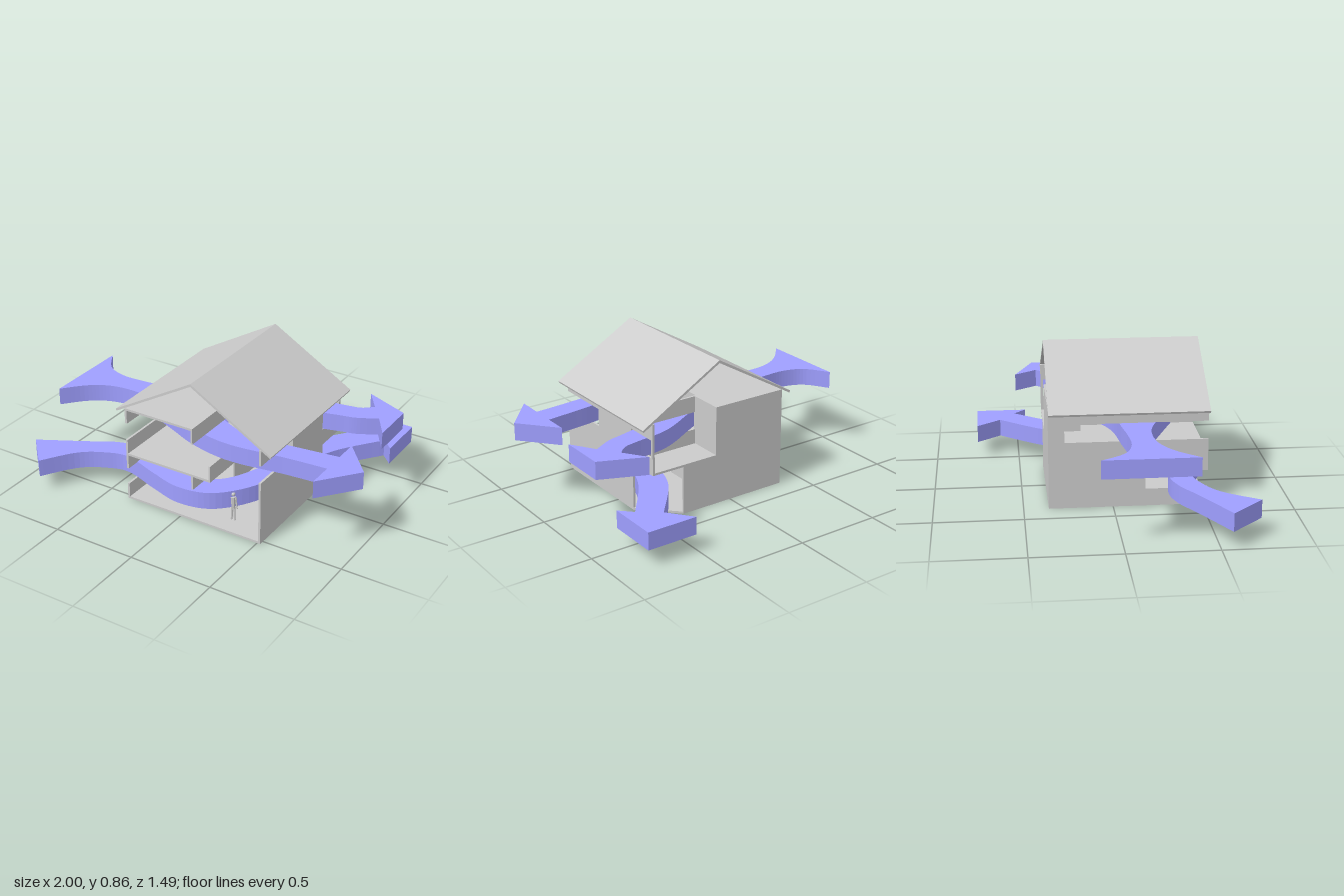
import * as THREE from 'three';

const grey = new THREE.MeshStandardMaterial({ color: 0xcccccc, flatShading: true, side: THREE.DoubleSide });
const blue = new THREE.MeshStandardMaterial({ color: 0x9f9fff, side: THREE.DoubleSide });

// Box given by its extents on each axis
function slab(name, x0, x1, y0, y1, z0, z1) {
  const mesh = new THREE.Mesh(new THREE.BoxGeometry(x1 - x0, y1 - y0, z1 - z0), grey);
  mesh.position.set((x0 + x1) / 2, (y0 + y1) / 2, (z0 + z1) / 2);
  mesh.name = name;
  return mesh;
}

// Plan outline (x, z) raised from y0 by height
function raisePlan(name, shape, y0, height, material) {
  const geo = new THREE.ExtrudeGeometry(shape, { depth: height, bevelEnabled: false, curveSegments: 10 });
  geo.rotateX(-Math.PI / 2);
  const mesh = new THREE.Mesh(geo, material);
  mesh.position.y = y0;
  mesh.name = name;
  return mesh;
}

// Outline from runs of plan points; each run is a smooth spline, runs join with corners
function planShape(runs) {
  const pts = [];
  for (const run of runs) {
    const v = run.map(([x, z]) => new THREE.Vector2(x, -z));
    pts.push(...(v.length > 2 ? new THREE.SplineCurve(v).getPoints(v.length * 6) : v));
  }
  return new THREE.Shape(pts);
}

function person(x, y, z) {
  const g = new THREE.Group();
  g.name = 'person';
  const add = (geo, px, py, tilt = 0) => {
    const m = new THREE.Mesh(geo, grey);
    m.position.set(px, py, 0);
    m.rotation.z = tilt;
    g.add(m);
  };
  for (const s of [-1, 1]) {
    add(new THREE.CylinderGeometry(0.007, 0.005, 0.09, 6), s * 0.008, 0.045, s * 0.06);
    add(new THREE.CylinderGeometry(0.005, 0.004, 0.07, 6), s * 0.021, 0.115, s * 0.12);
  }
  add(new THREE.CylinderGeometry(0.017, 0.012, 0.065, 8), 0, 0.12);
  add(new THREE.SphereGeometry(0.012, 10, 8), 0, 0.168);
  g.position.set(x, y, z);
  return g;
}

export function createModel() {
  const model = new THREE.Group();
  const house = new THREE.Group();
  house.name = 'house';
  model.add(house);

  const L = -0.36, R = 0.52, F = 0.53, B = -0.36, T = 0.013, H = 0.585;
  const C = 0.2; // corner entrance size
  const box = (...a) => house.add(slab(...a));

  // Ground floor with the cut corner
  house.add(raisePlan('groundFloor',
    planShape([[[L, F], [R, F]], [[R, B + C], [R - C, B]], [[L, B]]]), 0, T, grey));

  // Right-hand end wall: slots open to the front on both storeys
  box('endWall', L, L + T, 0, 0.1, B, F);
  box('endWall', L, L + T, 0.1, 0.2, B, 0.18);
  box('endWall', L, L + T, 0.2, 0.385, B, F);
  box('endWall', L, L + T, 0.385, 0.49, B, -0.27);
  box('endWall', L, L + T, 0.49, H, B, F);

  // Opposite end wall: corner entrance below, two window slots above
  box('sideWall', R - T, R, 0, 0.285, B + C, F);
  box('sideWall', R - T, R, 0.285, 0.385, B, F);
  box('sideWall', R - T, R, 0.385, 0.49, -0.15, 0.19);
  box('sideWall', R - T, R, 0.385, 0.49, B, B + 0.015);
  box('sideWall', R - T, R, 0.49, H, B, F);

  // Back wall, open at the balcony
  box('backWall', L, R - C, 0, 0.285, B, B + T);
  box('backWall', L, 0.1, 0.285, H, B, B + T);

  // Balcony inner wall with a window slot
  const bz = -0.16;
  box('balconyWall', 0.085, R, 0.285, 0.385, bz, bz + T);
  box('balconyWall', 0.085, R, 0.49, H, bz, bz + T);
  box('balconySide', 0.085, 0.1, 0.285, H, B, bz + T);
  box('balconyFloor', 0.085, R, 0.285, 0.298, B, bz + T);

  // Upper floor, parapet, ceiling and partitions
  box('upperFloor', L, 0.2, 0.285, 0.298, B, F);
  box('parapet', 0.19, 0.2, 0.285, 0.385, bz, F);
  box('ceiling', L, 0.088, H - T, H, B, F);
  box('upperBeam', 0.077, 0.088, 0.49, H, B, F);
  box('lowerBeam', 0.077, 0.088, 0.2, 0.29, B, F);
  box('lowerPartition', 0.077, 0.088, 0, 0.2, B, 0.1);

  // Gable roof
  const roof = new THREE.Shape([[-0.42, 0.565], [0.08, 0.855], [0.58, 0.565], [0.575, 0.553], [0.08, 0.839], [-0.415, 0.553]]
    .map(p => new THREE.Vector2(...p)));
  const roofMesh = new THREE.Mesh(new THREE.ExtrudeGeometry(roof, { depth: F - B, bevelEnabled: false }), grey);
  roofMesh.position.z = B;
  roofMesh.name = 'roof';
  house.add(roofMesh);

  // Occupants
  model.add(person(-0.14, T, 0.42), person(0.28, T, 0.42), person(0.09, 0.298, 0.2));

  // Lower air flow, leaving through the corner entrance
  model.add(raisePlan('lowerFlowArrow', planShape([
    [[-0.83, 0.74], [-0.7, 0.55], [-0.56, 0.46], [-0.42, 0.43], [-0.2, 0.5], [0, 0.55], [0.2, 0.5], [0.36, 0.3], [0.45, 0], [0.55, -0.26], [0.74, -0.52]],
    [[0.81, -0.45], [0.81, -0.75]], [[0.51, -0.75]],
    [[0.62, -0.61], [0.42, -0.36], [0.34, -0.15], [0.27, 0.15], [0.16, 0.35], [0, 0.41], [-0.2, 0.35], [-0.42, 0.3], [-0.58, 0.33], [-0.74, 0.42], [-1, 0.56]],
  ]), 0.1, 0.103, blue));

  // Upper air flow, splitting into two heads
  model.add(raisePlan('upperFlowArrow', planShape([
    [[-0.93, 0.4], [-0.82, 0.28], [-0.7, 0.21], [-0.56, 0.19], [-0.42, 0.21], [-0.2, 0.3], [0, 0.38], [0.25, 0.42], [0.58, 0.38], [0.82, 0.36]],
    [[0.82, 0.51], [1, 0.29]], [[0.82, 0.08]],
    [[0.82, 0.22], [0.58, 0.25], [0.3, 0.28], [0.08, 0.2], [-0.06, 0.11]],
    [[-0.06, 0.1], [0.1, 0.02], [0.3, -0.1], [0.58, -0.18], [0.7, -0.21], [0.81, -0.27]],
    [[0.9, -0.13], [0.9, -0.4]], [[0.64, -0.51]],
    [[0.73, -0.38], [0.67, -0.33], [0.58, -0.31], [0.36, -0.27], [0.1, -0.13], [-0.15, 0], [-0.42, 0.04], [-0.58, 0.06], [-0.72, 0.06], [-0.84, 0.01], [-0.93, -0.12]],
  ]), 0.385, 0.103, blue));

  return model;
}
